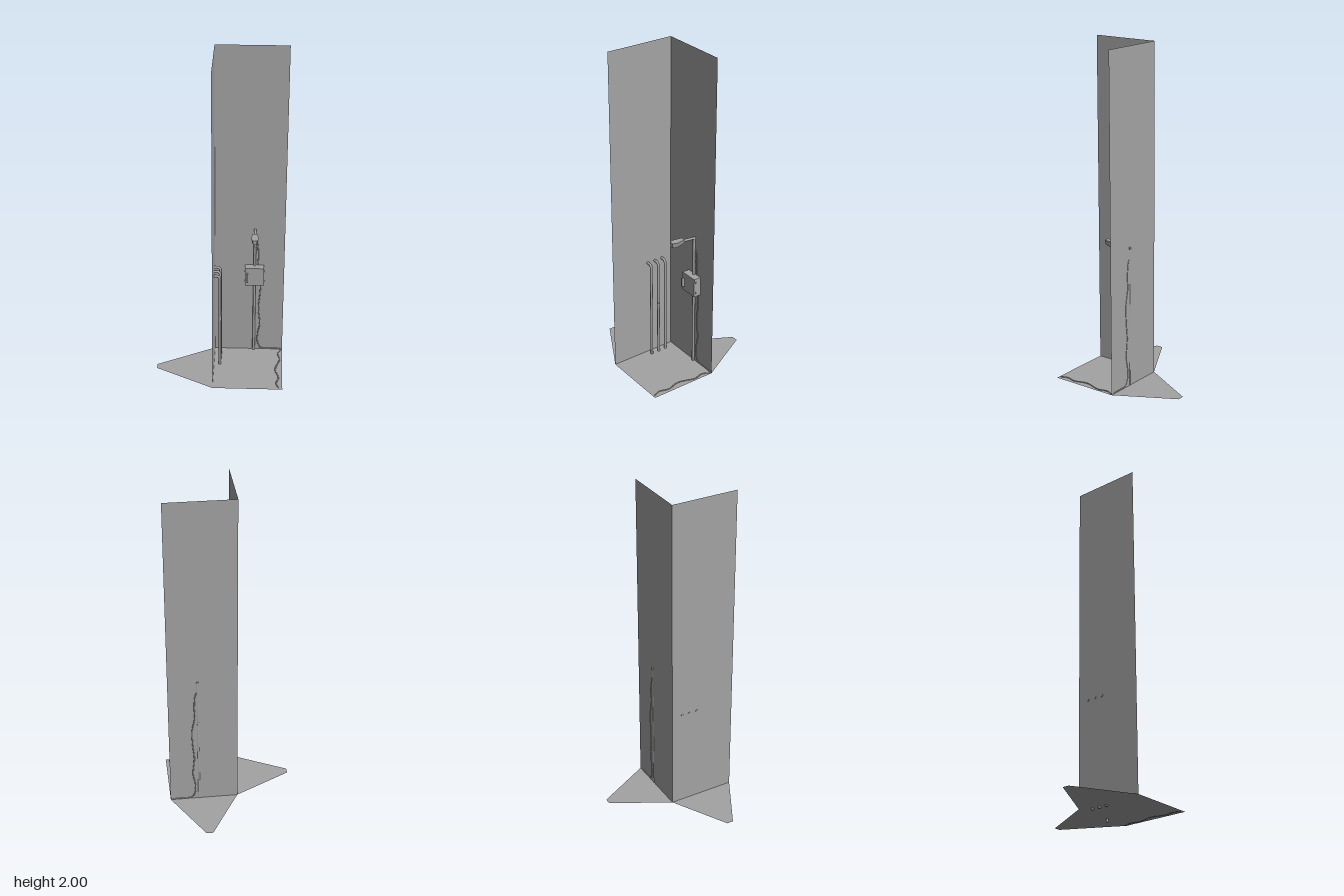
import * as THREE from 'three';

const grey = new THREE.MeshStandardMaterial({ color: 0xa3a3a3, side: THREE.DoubleSide });
grey.name = 'plain grey';

const v = (x, y, z) => new THREE.Vector3(x, y, z);

function add(parent, name, geometry, x = 0, y = 0, z = 0) {
  const mesh = new THREE.Mesh(geometry, grey);
  mesh.name = name;
  mesh.position.set(x, y, z);
  parent.add(mesh);
  return mesh;
}

// round bar along a curve, closed with a disc at each end
function bar(parent, name, curve, radius, segments, sides = 12) {
  const group = new THREE.Group();
  group.name = name;
  add(group, name + 'Tube', new THREE.TubeGeometry(curve, segments, radius, sides));
  for (const t of [0, 1]) {
    const p = curve.getPointAt(t);
    const cap = add(group, name + 'End', new THREE.CircleGeometry(radius, sides), p.x, p.y, p.z);
    const out = curve.getTangentAt(t).multiplyScalar(t ? 1 : -1);
    cap.quaternion.setFromUnitVectors(v(0, 0, 1), out);
  }
  parent.add(group);
}

// two straight runs joined by a rounded elbow
function elbow(a, corner, b, r) {
  const p = corner.clone().add(a.clone().sub(corner).setLength(r));
  const q = corner.clone().add(b.clone().sub(corner).setLength(r));
  const path = new THREE.CurvePath();
  path.add(new THREE.LineCurve3(a, p));
  path.add(new THREE.QuadraticBezierCurve3(p, corner, q));
  path.add(new THREE.LineCurve3(q, b));
  return path;
}

// flat outline given as x, z pairs
function outline(points) {
  return new THREE.Shape(points.map(([x, z]) => new THREE.Vector2(x, -z)));
}

export function createModel() {
  const model = new THREE.Group();
  model.name = 'wallCorner';

  // ground sheet with two tapering wings
  const ground = new THREE.ShapeGeometry(outline([
    [-0.035, 0.375], [0.375, 0.375], [0.375, -0.035], [0.19, -0.375],
    [0.15, -0.375], [-0.035, -0.035], [-0.375, 0.15], [-0.375, 0.19],
  ]));
  ground.rotateX(-Math.PI / 2);
  add(model, 'ground', ground, 0, 0.02, 0);

  // two tall walls meeting at the corner
  add(model, 'backWall', new THREE.PlaneGeometry(0.41, 1.98), 0.17, 1.01, -0.035);
  const side = add(model, 'sideWall', new THREE.PlaneGeometry(0.41, 1.98), -0.035, 1.01, 0.17);
  side.rotation.y = Math.PI / 2;

  // three pipes bending into the side wall
  [0.031, 0.081, 0.131].forEach((z, i) => {
    const path = elbow(v(0, 0.01, z), v(0, 0.64, z), v(-0.039, 0.64, z), 0.02);
    bar(model, 'wallPipe', path, 0.008, 70);
    if (i > 0) add(model, 'pipeCoupling', new THREE.CylinderGeometry(0.0095, 0.0095, 0.03, 12), 0, 0.35, z);
  });

  // lamp pole and arm
  bar(model, 'lampPole', new THREE.LineCurve3(v(0.2, 0, -0.03), v(0.2, 0.857, -0.028)), 0.008, 1);
  bar(model, 'lampArm', new THREE.LineCurve3(v(0.2, 0.858, -0.042), v(0.2, 0.867, 0.052)), 0.0075, 1);

  // lamp head, narrower along the underside
  const head = new THREE.ExtrudeGeometry(outline([
    [-0.014, 0.049], [-0.022, 0.1], [-0.021, 0.11], [-0.013, 0.132],
    [0.013, 0.132], [0.021, 0.11], [0.022, 0.1], [0.014, 0.049],
  ]), { depth: 0.03, bevelEnabled: false });
  head.rotateX(-Math.PI / 2);
  const pos = head.attributes.position;
  for (let i = 0; i < pos.count; i++) {
    if (pos.getY(i) < 0.01) {
      pos.setX(i, pos.getX(i) * 0.6);
      pos.setY(i, Math.abs(pos.getZ(i) - 0.1) < 0.015 ? -0.003 : 0.004);
    }
  }
  head.computeVertexNormals();
  add(model, 'lampHead', head, 0.2, 0.85, 0);

  // meter box with handle and side catches
  const box = new THREE.Group();
  box.name = 'meterBox';
  add(box, 'boxBody', new THREE.BoxGeometry(0.112, 0.117, 0.045), 0.2, 0.5635, -0.0125);
  add(box, 'boxHandle', new THREE.BoxGeometry(0.01, 0.057, 0.017), 0.157, 0.561, 0.0185);
  for (const x of [0.1435, 0.2565]) {
    for (const y of [0.53, 0.597]) add(box, 'boxCatch', new THREE.BoxGeometry(0.004, 0.012, 0.006), x, y, -0.003);
  }
  model.add(box);

  // loose cable down the wall, then across the ground
  const wallCable = [
    [0.208, 0.79], [0.216, 0.76], [0.221, 0.68], [0.219, 0.62], [0.236, 0.52], [0.234, 0.42], [0.226, 0.32],
    [0.235, 0.2], [0.223, 0.13], [0.226, 0.06], [0.245, 0.03], [0.3, 0.026], [0.345, 0.025],
  ].map(([x, y]) => v(x, y, -0.0345));
  const groundCable = [
    [0.366, -0.03], [0.348, 0.015], [0.36, 0.075], [0.333, 0.18],
    [0.352, 0.262], [0.339, 0.322], [0.354, 0.362],
  ].map(([x, z]) => v(x, 0.0215, z));
  bar(model, 'cable', new THREE.CatmullRomCurve3([...wallCable, ...groundCable]), 0.0037, 160, 6);

  return model;
}
